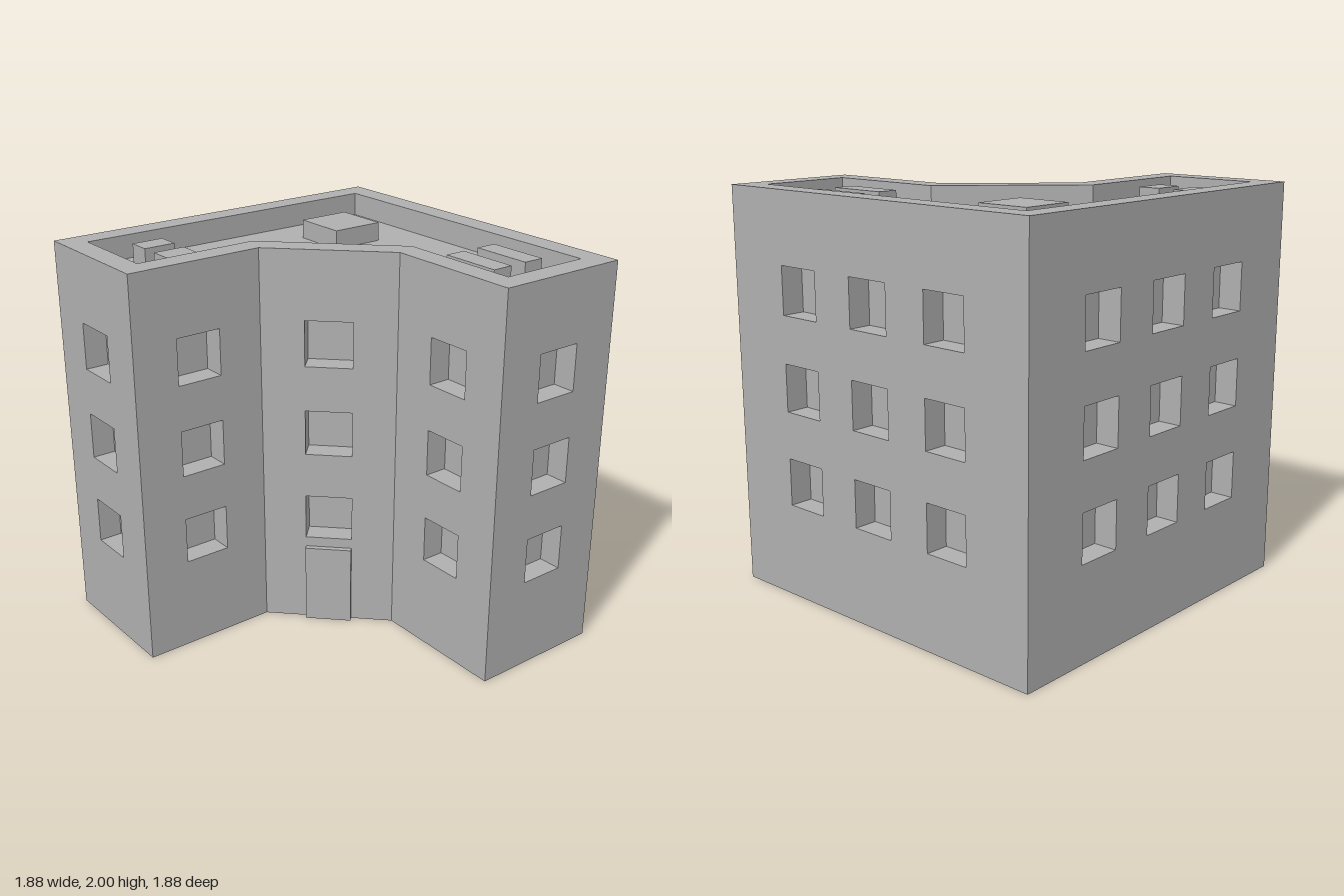
import * as THREE from 'three';
import { mergeGeometries } from 'three/addons/utils/BufferGeometryUtils.js';

const H = 2, ROOF = 1.882, DEPTH = 0.118, WIN = 0.236;
const FLOORS = [0.59, 1.06, 1.53];

// Footprint corners [x, z], walked with the outside on the right
const E = 0.94, N = 0.236;
const OUTER = [[-E, E], [-N, E], [-N, N], [N, -N], [E, -N], [E, -E], [-E, -E]];
const e = E - DEPTH, n = N + DEPTH, k = n - DEPTH * Math.SQRT2;
const INNER = [[-e, e], [-n, e], [-n, -k + 2 * k], [k, -n], [e, -n], [e, -e], [-e, -e]];

const toShape = (pts, sign) => new THREE.Shape(pts.map(([x, z]) => new THREE.Vector2(x, sign * z)));

// Horizontal face looking up
function flat(shape, y) {
  return new THREE.ShapeGeometry(shape).rotateX(-Math.PI / 2).translate(0, y, 0);
}

// Stand a geometry built in local x/y (facing +z) on the edge a-b
function onEdge(geo, a, b) {
  const angle = Math.atan2(a[1] - b[1], b[0] - a[0]);
  return geo.rotateY(angle).translate((a[0] + b[0]) / 2, 0, (a[1] + b[1]) / 2);
}

const edgeLength = (a, b) => Math.hypot(b[0] - a[0], b[1] - a[1]);

// Open-fronted window niche: back pane and four reveals
function recess(x, y) {
  const parts = [new THREE.PlaneGeometry(WIN, WIN).translate(0, 0, -DEPTH)];
  for (let i = 0; i < 4; i++) {
    parts.push(new THREE.PlaneGeometry(WIN, DEPTH).rotateX(-Math.PI / 2)
      .translate(0, -WIN / 2, -DEPTH / 2).rotateZ(i * Math.PI / 2));
  }
  return mergeGeometries(parts).translate(x, y, 0);
}

export function createModel() {
  const model = new THREE.Group();
  model.name = 'apartmentBlock';
  const grey = new THREE.MeshStandardMaterial({ color: 0xb0b0b0 });
  grey.name = 'concreteGrey';

  const add = (name, geo) => {
    const mesh = new THREE.Mesh(geo, grey);
    mesh.name = name;
    model.add(mesh);
    return mesh;
  };

  // Outer walls with window openings
  OUTER.forEach((a, i) => {
    const b = OUTER[(i + 1) % OUTER.length];
    const w = edgeLength(a, b);
    const columns = w > 1.5 ? [-0.47, 0, 0.47] : [0];
    const wall = new THREE.Shape([
      new THREE.Vector2(-w / 2, 0), new THREE.Vector2(w / 2, 0),
      new THREE.Vector2(w / 2, H), new THREE.Vector2(-w / 2, H)]);
    const niches = [];
    for (const x of columns) for (const y of FLOORS) {
      const h = WIN / 2;
      wall.holes.push(new THREE.Path([
        new THREE.Vector2(x - h, y - h), new THREE.Vector2(x - h, y + h),
        new THREE.Vector2(x + h, y + h), new THREE.Vector2(x + h, y - h)]));
      niches.push(recess(x, y));
    }
    add('wall' + (i + 1), onEdge(new THREE.ShapeGeometry(wall), a, b));
    add('windows' + (i + 1), onEdge(mergeGeometries(niches), a, b));
  });

  // Parapet: flat top ring and inward-facing sides
  const ring = toShape(OUTER, -1);
  ring.holes.push(toShape(INNER, -1));
  add('parapetTop', flat(ring, H));
  add('parapetInside', mergeGeometries(INNER.map((a, i) => {
    const b = INNER[(i + 1) % INNER.length];
    const side = new THREE.PlaneGeometry(edgeLength(a, b), H - ROOF).translate(0, (H + ROOF) / 2, 0);
    return onEdge(side, b, a);
  })));

  // Roof deck and underside
  add('roofDeck', flat(toShape(INNER, -1), ROOF));
  add('base', new THREE.ShapeGeometry(toShape(OUTER, 1)).rotateX(Math.PI / 2));

  // Rooftop units: x, z, width, depth
  const unitHeight = 0.094;
  [['stairHousing', -0.465, -0.4375, 0.28, 0.275],
    ['longVentBack', 0.4925, -0.695, 0.315, 0.11],
    ['longVentFront', 0.4925, -0.495, 0.315, 0.11],
    ['smallVentOuter', -0.6825, 0.5425, 0.115, 0.165],
    ['smallVentInner', -0.4825, 0.5425, 0.115, 0.165],
  ].forEach(([name, x, z, w, d]) => {
    add(name, new THREE.BoxGeometry(w, unitHeight, d)).position.set(x, ROOF + unitHeight / 2, z);
  });

  // Entrance door on the diagonal wall
  const door = new THREE.BoxGeometry(WIN, 0.42, 0.028).translate(0, 0.21, 0.014);
  add('door', onEdge(door, OUTER[2], OUTER[3]));

  return model;
}
